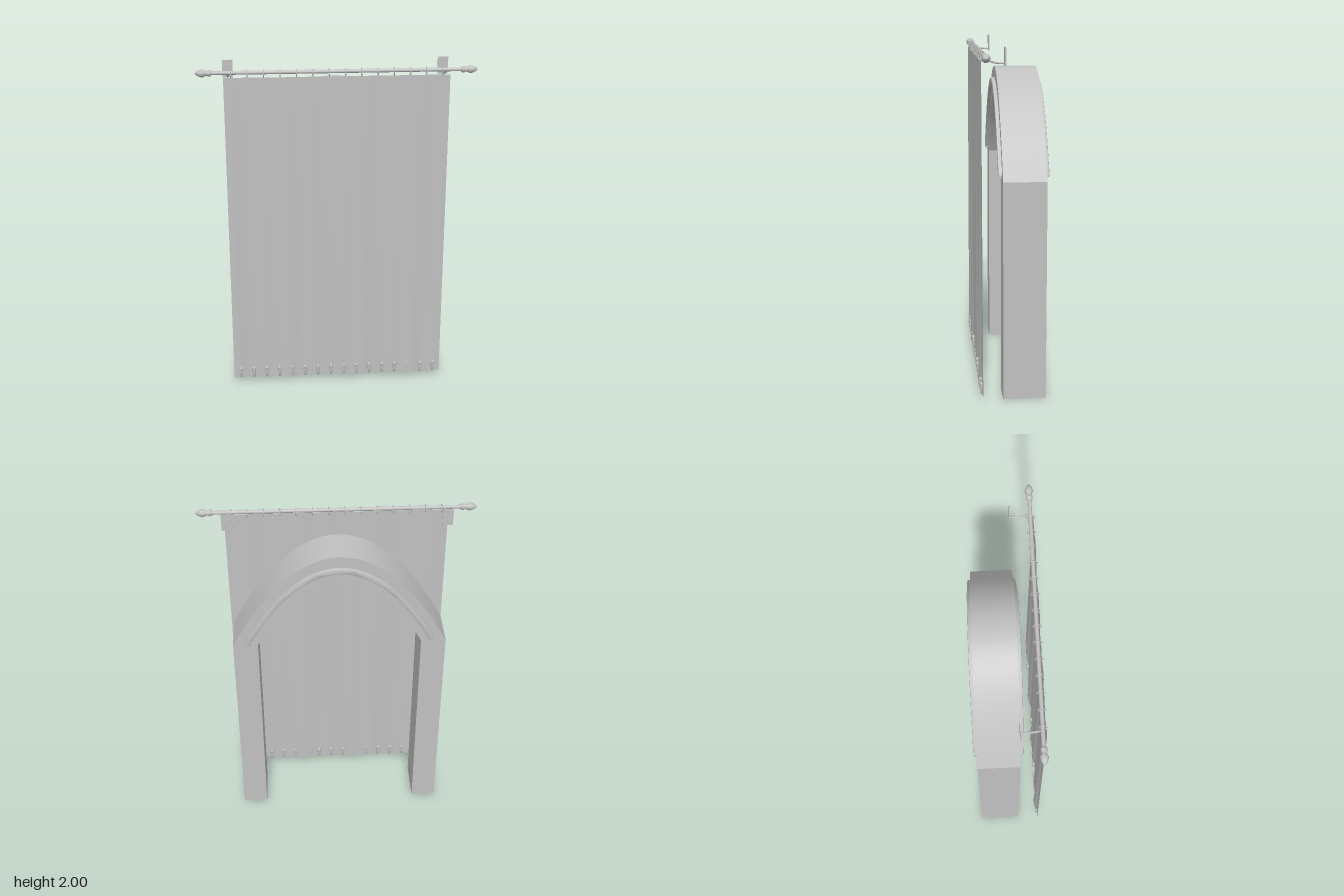
import * as THREE from 'three';
import { toCreasedNormals } from 'three/addons/utils/BufferGeometryUtils.js';

const grey = new THREE.MeshStandardMaterial({ color: 0xc0c0c0 });
grey.name = 'grey';
const cloth = new THREE.MeshStandardMaterial({ color: 0xc0c0c0, side: THREE.DoubleSide });
cloth.name = 'grey cloth';

const SPRING = 1.265;           // height where the arch leaves its legs
const ROD_Y = 1.95, ROD_Z = 0.167, CLOTH_Z = 0.186;

// Parabolic arch band; legs reach down to 'foot'
function archShape(outer, outerTop, inner, innerTop, foot, spring) {
  const s = new THREE.Shape();
  s.moveTo(outer, foot);
  s.lineTo(outer, spring);
  s.quadraticCurveTo(0, 2 * outerTop - spring, -outer, spring);
  s.lineTo(-outer, foot);
  s.lineTo(-inner, foot);
  s.lineTo(-inner, spring);
  s.quadraticCurveTo(0, 2 * innerTop - spring, inner, spring);
  s.lineTo(inner, foot);
  s.closePath();
  return s;
}

// Z of the hanging cloth: shallow folds that deepen towards the hem
function clothZ(x, y) {
  const depth = 0.003 + 0.009 * (1 - y / 1.925);
  const fold = 0.6 * Math.sin(x * 17 + 0.6) + 0.4 * Math.sin(x * 41 + 1.7);
  return CLOTH_Z + depth * fold;
}

export function createModel() {
  const group = new THREE.Group();
  const add = (name, geometry, material = grey) => {
    const mesh = new THREE.Mesh(geometry, material);
    mesh.name = name;
    group.add(mesh);
    return mesh;
  };

  // Archway
  const arch = new THREE.ExtrudeGeometry(
    archShape(0.62, 1.85, 0.475, 1.7, 0, SPRING),
    { depth: 0.245, bevelEnabled: false, curveSegments: 40 });
  add('archway', toCreasedNormals(arch, 0.3)).position.z = -0.18;

  // Bevelled moulding on both faces of the arch
  const trim = toCreasedNormals(new THREE.ExtrudeGeometry(
    archShape(0.546, 1.777, 0.524, 1.755, 1.284, 1.29),
    { depth: 0.03, bevelThickness: 0.006, bevelSize: 0.006, bevelSegments: 2, curveSegments: 40 }), 0.5);
  add('frontMoulding', trim).position.z = 0.05;
  add('backMoulding', trim).position.z = -0.194;

  // Curtain
  const curtain = new THREE.PlaneGeometry(1.285, 1.895, 120, 16);
  curtain.translate(0, 0.03 + 1.895 / 2, 0);
  const p = curtain.attributes.position;
  for (let i = 0; i < p.count; i++) p.setZ(i, clothZ(p.getX(i), p.getY(i)));
  curtain.computeVertexNormals();
  add('curtain', curtain, cloth);

  // Teardrop beads along the hem
  const bead = new THREE.LatheGeometry([
    [0, 0], [0.006, 0.002], [0.008, 0.02], [0.012, 0.042], [0.007, 0.05],
    [0.012, 0.057], [0.011, 0.066], [0.006, 0.071], [0, 0.073],
  ].map(([r, y]) => new THREE.Vector2(r, y)), 12);
  for (let i = 0; i < 16; i++) {
    add('hemBead', bead).position.set(-0.6 + i * 0.08, 0.028, CLOTH_Z + 0.002);
  }

  // Rod with a turned finial at each end
  const rod = new THREE.CylinderGeometry(0.011, 0.011, 1.43, 16);
  rod.rotateZ(Math.PI / 2);
  add('rod', rod).position.set(0, ROD_Y, ROD_Z);

  const finial = new THREE.LatheGeometry([
    [0.011, 0], [0.018, 0.008], [0.019, 0.018], [0.014, 0.03],
    [0.017, 0.04], [0.024, 0.055], [0.018, 0.075], [0.008, 0.092], [0, 0.096],
  ].map(([r, y]) => new THREE.Vector2(r, y)), 16);

  // Wall brackets: plate and curved arm
  const armPath = new THREE.CatmullRomCurve3([
    [0.055, 1.915], [0.085, 1.915], [0.12, 1.921], [0.145, 1.932], [0.163, 1.945],
  ].map(([z, y]) => new THREE.Vector3(0, y, z)));
  const arm = new THREE.TubeGeometry(armPath, 16, 0.006, 8);
  const plate = new THREE.BoxGeometry(0.06, 0.1, 0.006);

  for (const side of [-1, 1]) {
    const end = add('finial', finial);
    end.position.set(side * 0.704, ROD_Y, ROD_Z);
    end.rotation.z = -side * Math.PI / 2;
    add('bracketPlate', plate).position.set(side * 0.62, 1.95, 0.054);
    add('bracketArm', arm).position.x = side * 0.618;
  }

  // Curtain rings
  const ring = new THREE.TorusGeometry(0.021, 0.0028, 8, 20);
  ring.rotateY(Math.PI / 2);
  for (let i = 0; i < 14; i++) {
    add('curtainRing', ring).position.set(-0.6 + i * 1.2 / 13, ROD_Y - 0.006, ROD_Z + 0.001);
  }

  return group;
}
